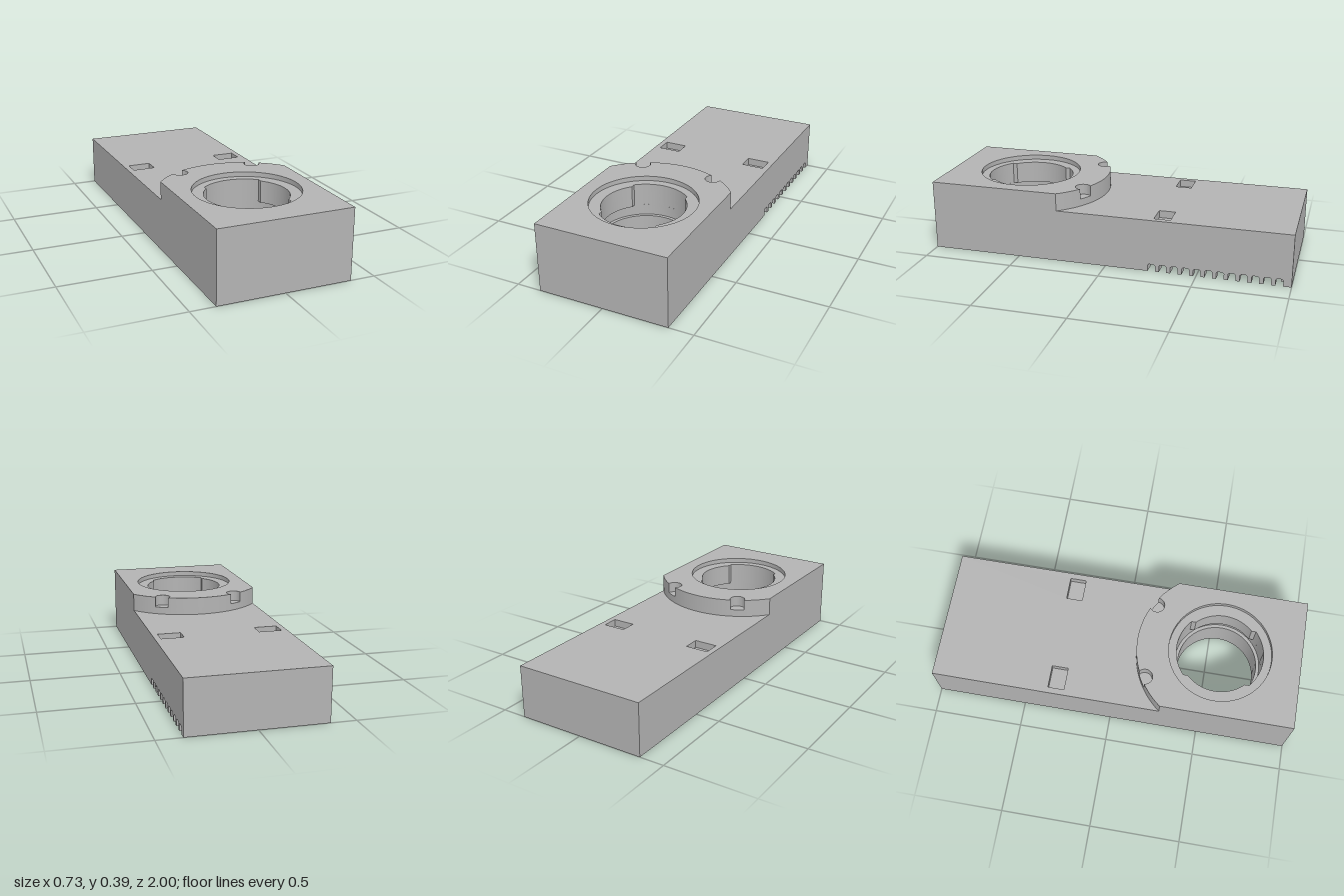
import * as THREE from 'three';
import { toCreasedNormals } from 'three/addons/utils/BufferGeometryUtils.js';

const HALF_W = 0.365, WALL = 0.06, CEILING = 0.15, DECK = 0.29, TOP = 0.388;
const CZ = 0.555;                 // z of the round socket
const BORE = 0.222, SLOT = 0.24, RECESS = 0.284, DISC = 0.46;
const rad = THREE.MathUtils.degToRad;

// Plan shapes are drawn with shape y = -z.
function rect(x0, x1, z0, z1, Type = THREE.Shape) {
  const s = new Type();
  s.moveTo(x0, -z1).lineTo(x1, -z1).lineTo(x1, -z0).lineTo(x0, -z0).closePath();
  return s;
}

function circle(r, Type = THREE.Path) {
  return new Type().absarc(0, -CZ, r, 0, Math.PI * 2, false);
}

// Bore with a wider arc at the front and back
function keyhole() {
  const p = new THREE.Path();
  const a = Math.acos(0.158 / BORE), b = Math.acos(0.158 / SLOT);
  for (const turn of [0, Math.PI]) {
    p.absarc(0, -CZ, SLOT, turn + b, turn + Math.PI - b, false);
    p.absarc(0, -CZ, BORE, turn + Math.PI - a, turn + Math.PI + a, false);
  }
  p.closePath();
  return p;
}

// Raised front block with a curved back edge, optionally with two round bites
function raisedShape(bites) {
  const s = new THREE.Shape();
  const start = Math.acos(HALF_W / DISC), end = Math.PI - start;
  s.moveTo(-HALF_W, -1).lineTo(HALF_W, -1);
  let from = start;
  if (bites) {
    const r = 0.042, d = 0.44;
    const alpha = Math.acos((DISC * DISC + d * d - r * r) / (2 * DISC * d));
    const beta = Math.atan2(DISC * Math.sin(alpha), DISC * Math.cos(alpha) - d);
    for (const phi of [rad(61), rad(119)]) {
      s.absarc(0, -CZ, DISC, from, phi - alpha, false);
      s.absarc(d * Math.cos(phi), -CZ + d * Math.sin(phi), r, phi - beta, phi + beta, true);
      from = phi + alpha;
    }
  }
  s.absarc(0, -CZ, DISC, from, end, false);
  s.closePath();
  return s;
}

export function createModel() {
  const model = new THREE.Group();
  model.name = 'socketHousing';
  const grey = new THREE.MeshStandardMaterial({ color: 0xb3b3b3 });
  grey.name = 'plain grey';

  function add(name, geometry) {
    const mesh = new THREE.Mesh(toCreasedNormals(geometry, rad(30)), grey);
    mesh.name = name;
    model.add(mesh);
    return mesh;
  }

  // Horizontal slab between two heights
  function layer(name, y0, y1, shape, holes = []) {
    shape.holes.push(...holes);
    const g = new THREE.ExtrudeGeometry(shape, { depth: y1 - y0, bevelEnabled: false, curveSegments: 40 });
    g.rotateX(-Math.PI / 2).translate(0, y0, 0);
    return add(name, g);
  }

  const plan = () => rect(-HALF_W, HALF_W, -1, 1);
  const pockets = () => [-0.27, 0.27].map(x => rect(x - 0.063, x + 0.063, -0.35, -0.26, THREE.Path));

  // Walls around the open underside
  const inner = HALF_W - WALL;
  layer('rightWall', 0, CEILING, rect(-HALF_W, -inner, -1, 1));
  layer('frontWall', 0, CEILING, rect(-inner, inner, 1 - WALL, 1));
  layer('backWall', 0, CEILING, rect(-inner, inner, -1, -1 + WALL));

  // Left wall with a row of vent notches along its lower edge (shape x = -z)
  const side = new THREE.Shape();
  side.moveTo(-1, 0);
  for (let i = 0; i < 12; i++) {
    const c = 0.257 + i * 0.0618, w = 0.02, h = 0.04, r = 0.007;
    side.lineTo(c - w, 0).lineTo(c - w, h - r).lineTo(c - w + r, h);
    side.lineTo(c + w - r, h).lineTo(c + w, h - r).lineTo(c + w, 0);
  }
  side.lineTo(1, 0).lineTo(1, CEILING).lineTo(-1, CEILING).closePath();
  const sideGeometry = new THREE.ExtrudeGeometry(side, { depth: WALL, bevelEnabled: false });
  add('leftNotchedWall', sideGeometry.rotateY(Math.PI / 2).translate(inner, 0, 0));

  // Tube hanging below the deck
  layer('lowerTube', 0, CEILING, circle(0.285, THREE.Shape), [circle(BORE)]);

  // Deck: ledge, internal groove, lip with slots, then the two blind pockets
  layer('deckLedge', CEILING, 0.18, plan(), [circle(BORE)]);
  layer('deckGroove', 0.18, 0.24, plan(), [circle(SLOT)]);
  layer('deckLip', 0.24, 0.25, plan(), [keyhole()]);
  layer('deckTop', 0.25, DECK, plan(), [keyhole(), ...pockets()]);

  // Raised block with edge bites and a shallow round recess
  layer('raisedBase', DECK, 0.33, raisedShape(false), [keyhole()]);
  layer('raisedMiddle', 0.33, 0.362, raisedShape(true), [keyhole()]);
  layer('raisedRim', 0.362, TOP, raisedShape(true), [circle(RECESS)]);

  return model;
}
